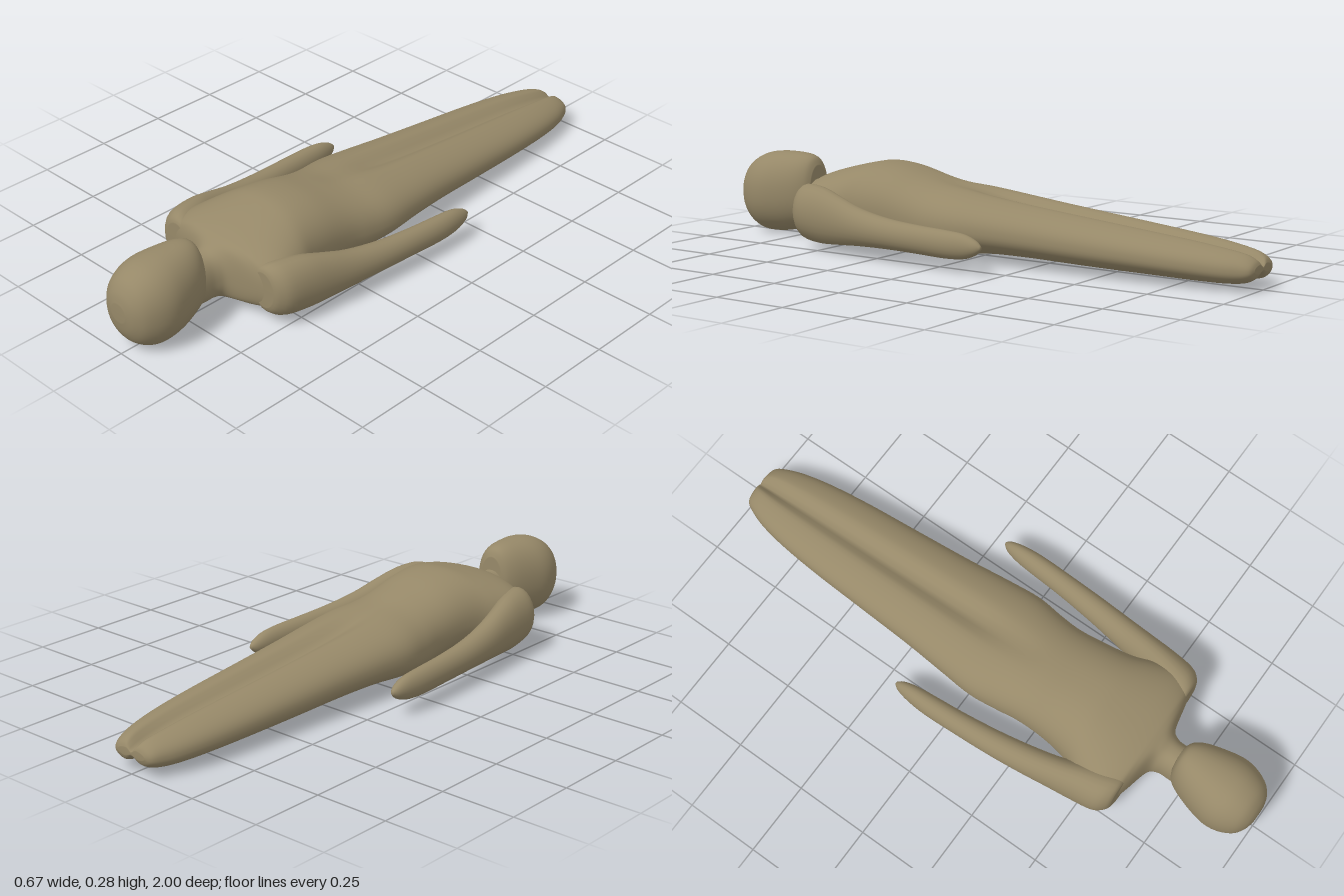
import * as THREE from 'three';

// Catmull-Rom blend of one column of the section tables
function spline(a, b, c, d, t) {
  const v0 = (c - a) / 2, v1 = (d - b) / 2;
  return (2 * b - 2 * c + v0 + v1) * t ** 3 + (-3 * b + 3 * c - 2 * v0 - v1) * t * t + v0 * t + b;
}

// Loft along z. Section: [z, centre x, half width, bottom y, top y, groove depth]
function loft(sections, { power = 2, waist = 0.5, steps = 5, sides = 48 } = {}) {
  const rings = [], last = sections.length - 1;
  for (let i = 0; i < last; i++) {
    const s = [Math.max(i - 1, 0), i, i + 1, Math.min(i + 2, last)].map(k => sections[k]);
    for (let k = 0; k < steps; k++) {
      rings.push(s[1].map((_, c) => spline(s[0][c], s[1][c], s[2][c], s[3][c], k / steps)));
    }
  }
  rings.push(sections[last]);

  const pos = [], index = [];
  for (const [z, cx, rx, y0, y1, groove = 0] of rings) {
    const mid = y0 + (y1 - y0) * waist;
    for (let j = 0; j < sides; j++) {
      const a = (j / sides) * Math.PI * 2, c = Math.cos(a), s = Math.sin(a);
      const u = Math.sign(c) * Math.abs(c) ** (2 / power);
      const v = Math.sign(s) * Math.abs(s) ** (2 / power);
      const dent = 1 - Math.max(groove, 0) * Math.exp(-((u / (v > 0 ? 0.2 : 0.3)) ** 2));
      pos.push(cx + u * rx, mid + v * dent * (v > 0 ? y1 - mid : mid - y0), z);
    }
  }
  for (let i = 0; i < rings.length - 1; i++) {
    for (let j = 0; j < sides; j++) {
      const a = i * sides + j, b = i * sides + (j + 1) % sides;
      index.push(a, a + sides, b, b, a + sides, b + sides);
    }
  }
  // end caps
  for (const end of [0, rings.length - 1]) {
    const [z, cx, , y0, y1] = rings[end], centre = pos.length / 3;
    pos.push(cx, y0 + (y1 - y0) * waist, z);
    for (let j = 0; j < sides; j++) {
      const a = end * sides + j, b = end * sides + (j + 1) % sides;
      index.push(centre, end ? b : a, end ? a : b);
    }
  }
  const geo = new THREE.BufferGeometry();
  geo.setAttribute('position', new THREE.Float32BufferAttribute(pos, 3));
  geo.setIndex(index);
  geo.computeVertexNormals();
  return geo;
}

export function createModel() {
  const model = new THREE.Group();
  const clay = new THREE.MeshStandardMaterial({ color: 0x968868 });
  clay.name = 'tan clay';
  const add = (name, geo) => {
    const mesh = new THREE.Mesh(geo, clay);
    mesh.name = name;
    model.add(mesh);
  };

  // head, crown at +z and chin towards the feet
  add('head', loft([
    [1.0, 0, 0.03, 0.12, 0.18],
    [0.99, 0, 0.062, 0.075, 0.215],
    [0.965, 0, 0.092, 0.035, 0.25],
    [0.92, 0, 0.113, 0.009, 0.275],
    [0.87, 0, 0.119, 0.005, 0.285],
    [0.81, 0, 0.107, 0.012, 0.287],
    [0.75, 0, 0.087, 0.03, 0.284],
    [0.715, 0, 0.066, 0.042, 0.272],
    [0.7, 0, 0.045, 0.06, 0.245],
  ], { power: 2.15 }));

  // neck, torso and legs in one skin, with the groove opening between the legs
  add('body', loft([
    [0.76, 0, 0.06, 0.05, 0.21, 0],
    [0.7, 0, 0.057, 0.042, 0.2, 0],
    [0.66, 0, 0.06, 0.043, 0.202, 0],
    [0.632, 0, 0.085, 0.04, 0.217, 0],
    [0.61, 0, 0.18, 0.036, 0.23, 0],
    [0.59, 0, 0.235, 0.03, 0.239, 0],
    [0.54, 0, 0.255, 0.018, 0.255, 0],
    [0.46, 0, 0.23, 0.01, 0.275, 0],
    [0.39, 0, 0.2, 0.012, 0.286, 0],
    [0.3, 0, 0.185, 0.016, 0.277, 0],
    [0.2, 0, 0.18, 0.007, 0.252, 0],
    [0.12, 0, 0.188, 0.001, 0.236, 0.04],
    [0.02, 0, 0.199, 0.012, 0.227, 0.12],
    [-0.1, 0, 0.19, 0.023, 0.214, 0.28],
    [-0.25, 0, 0.176, 0.024, 0.198, 0.36],
    [-0.45, 0, 0.163, 0.02, 0.178, 0.4],
    [-0.65, 0, 0.15, 0.018, 0.158, 0.42],
    [-0.8, 0, 0.134, 0.016, 0.142, 0.46],
    [-0.9, 0, 0.115, 0.016, 0.128, 0.55],
    [-0.96, 0, 0.094, 0.021, 0.116, 0.65],
    [-0.99, 0, 0.077, 0.035, 0.1, 0.7],
    [-1.0, 0, 0.055, 0.055, 0.083, 0.7],
  ], { power: 2.25, waist: 0.45, sides: 64 }));

  // arms, from the blunt shoulder to the tapered hand
  for (const [name, side] of [['leftArm', 1], ['rightArm', -1]]) {
    add(name, loft([
      [0.605, 0.195, 0.045, 0.07, 0.19],
      [0.595, 0.2, 0.062, 0.05, 0.207],
      [0.56, 0.215, 0.071, 0.033, 0.218],
      [0.48, 0.235, 0.062, 0.028, 0.213],
      [0.4, 0.253, 0.052, 0.034, 0.192],
      [0.3, 0.269, 0.047, 0.042, 0.164],
      [0.18, 0.284, 0.042, 0.047, 0.146],
      [0.05, 0.295, 0.037, 0.047, 0.138],
      [-0.06, 0.301, 0.034, 0.045, 0.134],
      [-0.13, 0.302, 0.028, 0.05, 0.128],
      [-0.175, 0.303, 0.018, 0.066, 0.112],
      [-0.195, 0.304, 0.005, 0.084, 0.096],
    ].map(([z, x, ...rest]) => [z, x * side, ...rest]), { sides: 24, steps: 4 }));
  }
  return model;
}
